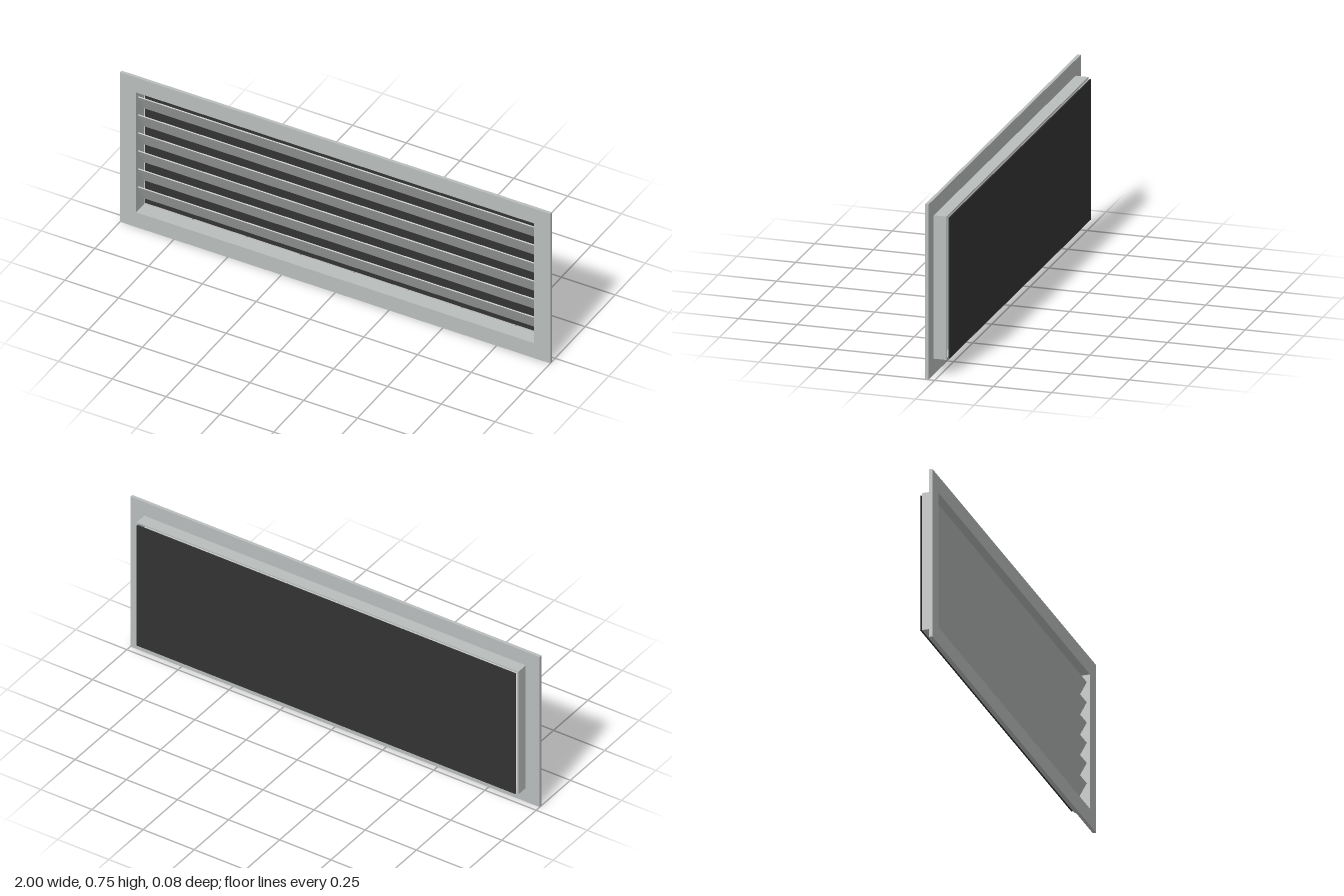
import * as THREE from 'three';

const CY = 0.3755;          // height of the grille centre
const HOLE_W = 1.85, HOLE_H = 0.602;

// Rectangular ring extruded along z from z0 to z1
function ring(w, h, z0, z1) {
  const rect = (P, a, b) => {
    const p = new P();
    p.moveTo(-a / 2, -b / 2);
    p.lineTo(a / 2, -b / 2);
    p.lineTo(a / 2, b / 2);
    p.lineTo(-a / 2, b / 2);
    p.closePath();
    return p;
  };
  const shape = rect(THREE.Shape, w, h);
  shape.holes.push(rect(THREE.Path, HOLE_W, HOLE_H));
  const geo = new THREE.ExtrudeGeometry(shape, { depth: z1 - z0, bevelEnabled: false });
  return geo.translate(0, CY, z0);
}

export function createModel() {
  const group = new THREE.Group();
  const metal = new THREE.MeshStandardMaterial({ color: 0xb9bdbc });
  metal.name = 'grey metal';
  const dark = new THREE.MeshStandardMaterial({ color: 0x333333 });
  dark.name = 'dark mesh';

  const add = (name, geo, mat, parent = group) => {
    const mesh = new THREE.Mesh(geo, mat);
    mesh.name = name;
    parent.add(mesh);
    return mesh;
  };

  // Front flange and the collar behind it
  add('flange', ring(2, 2 * CY, 0.026, 0.04), metal);
  add('collar', ring(1.864, 0.614, -0.028, 0.026), metal);

  // Six slats, leaning out at the top
  const slats = new THREE.Group();
  slats.name = 'slats';
  group.add(slats);
  const slatGeo = new THREE.BoxGeometry(HOLE_W, 0.1, 0.005);
  for (let i = 0; i < 6; i++) {
    const slat = add('slat', slatGeo, metal, slats);
    slat.position.set(0, CY + (i - 2.5) * 0.0905, -0.001);
    slat.rotation.x = Math.PI / 6;
  }

  // Dark screen standing just behind the collar
  add('backScreen', new THREE.BoxGeometry(HOLE_W, HOLE_H, 0.005).translate(0, CY, -0.0375), dark);

  return group;
}
